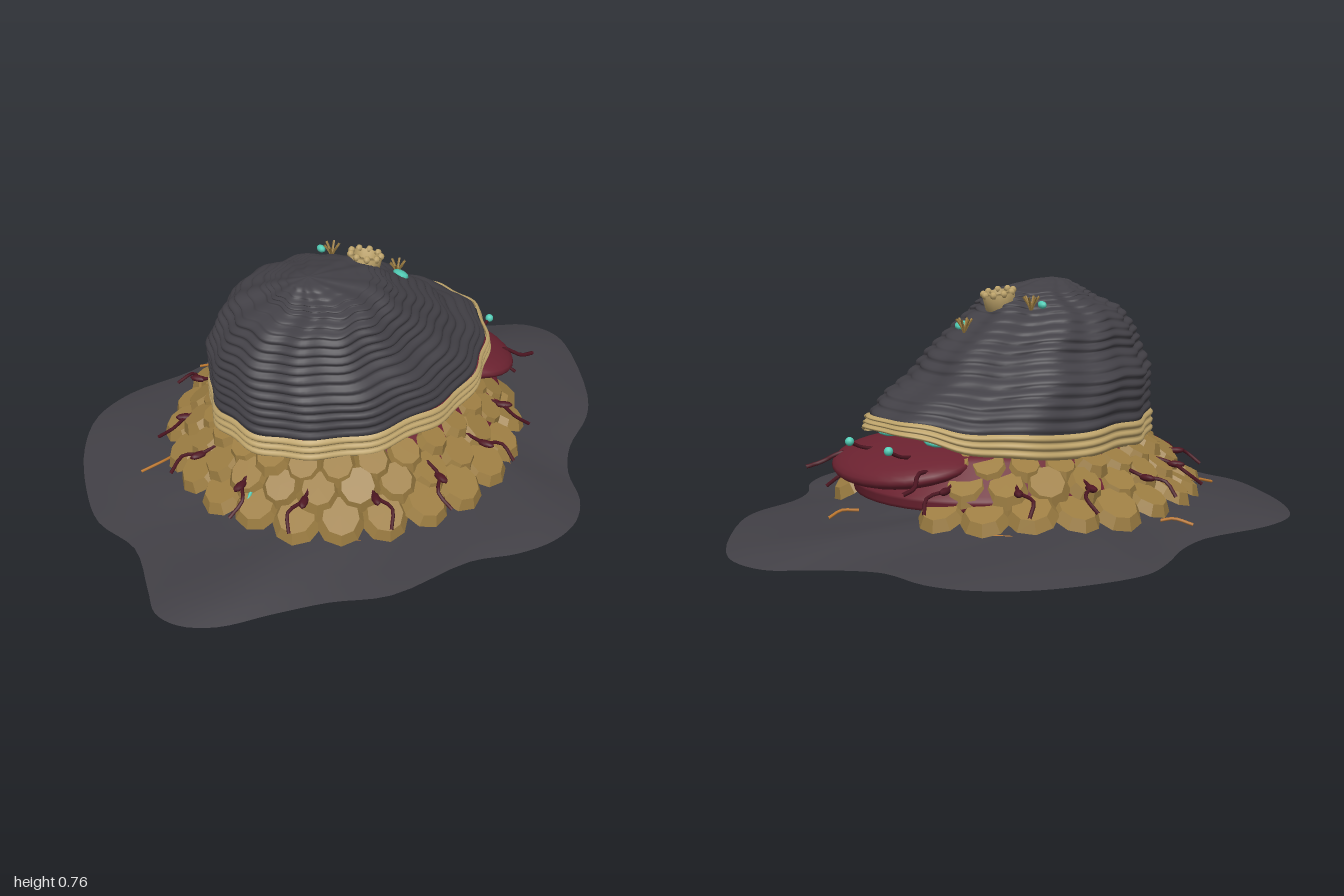
import * as THREE from 'three';

const paint = (name, color, side = THREE.FrontSide) => {
  const m = new THREE.MeshStandardMaterial({ color, side });
  m.name = name;
  return m;
};

// Closed-in-theta grid surface; f(theta, v) returns [x, y, z]
function surface(nu, nv, f) {
  const pos = [], idx = [];
  for (let j = 0; j <= nv; j++)
    for (let i = 0; i < nu; i++) pos.push(...f((i / nu) * Math.PI * 2, j / nv));
  for (let j = 0; j < nv; j++)
    for (let i = 0; i < nu; i++) {
      const k = (i + 1) % nu, a = j * nu + i, b = j * nu + k;
      idx.push(a, a + nu, b, b, a + nu, b + nu);
    }
  const g = new THREE.BufferGeometry();
  g.setAttribute('position', new THREE.Float32BufferAttribute(pos, 3));
  g.setIndex(idx);
  g.computeVertexNormals();
  return g;
}

const tube = (pts, r, n = 10) => new THREE.TubeGeometry(
  new THREE.CatmullRomCurve3(pts.map(p => new THREE.Vector3(...p))), n, r, 5);

// Interpolate a table of rows at v in 0..1
function mix(rows, v) {
  const s = v * (rows.length - 1), i = Math.min(Math.floor(s), rows.length - 2), t = s - i;
  return rows[i].map((a, k) => a + (rows[i + 1][k] - a) * t);
}

export function createModel() {
  const model = new THREE.Group();
  const dark = paint('charcoal', 0x424046, THREE.DoubleSide);
  const tan = paint('tan', 0xbda36a, THREE.DoubleSide);
  const gold = paint('gold', 0x9c7d42);
  gold.flatShading = true;
  const maroon = paint('maroon', 0x6b2230, THREE.DoubleSide);
  const wine = paint('dark wine', 0x4e1622);
  const teal = paint('turquoise', 0x52cdb6);
  const orange = paint('orange', 0xc07a30);
  let seed = 7;
  const rnd = () => (seed = (seed * 16807) % 2147483647) / 2147483647;
  const add = (name, geo, mat, x = 0, y = 0, z = 0, parent = model) => {
    const m = new THREE.Mesh(geo, mat);
    m.name = name;
    m.position.set(x, y, z);
    parent.add(m);
    return m;
  };
  const backness = th => Math.pow(Math.max(0, -Math.sin(th)), 3);

  // Wavy ground sheet
  const outline = new THREE.CatmullRomCurve3([
    [0.04, -1], [0.14, -0.97], [0.4, -0.77], [0.48, -0.66], [0.54, -0.49], [0.62, -0.38],
    [0.73, -0.3], [0.79, -0.2], [0.8, -0.08], [0.76, 0.05], [0.68, 0.18], [0.61, 0.45],
    [0.5, 0.6], [0.42, 0.75], [0.35, 0.9], [0.27, 0.98], [0.19, 1], [0.1, 0.96],
    [-0.08, 0.88], [-0.26, 0.89], [-0.42, 0.83], [-0.61, 0.71], [-0.72, 0.58], [-0.75, 0.42],
    [-0.71, 0.17], [-0.73, 0.04], [-0.78, -0.08], [-0.81, -0.2], [-0.77, -0.4], [-0.7, -0.57],
    [-0.6, -0.69], [-0.5, -0.74], [-0.34, -0.75], [-0.25, -0.79], [-0.15, -0.88], [-0.07, -0.97],
  ].map(([x, z]) => new THREE.Vector3(x, 0, z)), true);
  add('groundSheet', surface(144, 16, (th, v) => {
    const p = outline.getPoint((th / (Math.PI * 2)) % 1), s = 1 - v;
    const y = 0.075 * Math.pow(v, 0.75) + 0.006 * (1 + Math.sin(th * 5 + v * 9)) * Math.min(1, s * 3);
    return [p.x * s, y, p.z * s];
  }), dark);

  // Ribbed shell: rows of y, centre x, centre z, radius x, radius z
  const levels = [
    [0.32, -0.035, -0.005, 0.375, 0.5], [0.4, -0.03, 0.03, 0.37, 0.465],
    [0.47, -0.03, 0.085, 0.355, 0.41], [0.54, -0.022, 0.11, 0.3, 0.375],
    [0.6, -0.02, 0.14, 0.28, 0.315], [0.66, 0, 0.175, 0.238, 0.245],
    [0.7, 0.02, 0.16, 0.18, 0.18], [0.722, 0.02, 0.17, 0.13, 0.15],
    [0.752, 0.025, 0.22, 0.05, 0.06], [0.76, 0.025, 0.23, 0, 0],
  ];
  const shellPoint = (th, v) => {
    const [y, cx, cz, rx, rz] = mix(levels, v);
    const fade = Math.min(1, rx / 0.2);
    const off = fade * (0.012 * Math.abs(Math.sin(v * Math.PI * 20 + 0.3 * Math.sin(th * 3)))
      + 0.006 * Math.cos(th * 14));
    return [cx + (rx + off) * Math.cos(th),
      y + backness(th) * 0.045 * Math.max(0, 1 - v * 5) + 0.004 * fade * Math.sin(th * 9),
      cz + (rz + off) * Math.sin(th)];
  };
  add('shell', surface(126, 120, shellPoint), dark);

  // Layered lip band around the shell opening
  add('shellBand', surface(126, 18, (th, v) => {
    const b = backness(th);
    const off = 0.008 + 0.01 * Math.abs(Math.sin(v * Math.PI * 3)) + 0.007 * Math.cos(th * 14) + 0.022 * b * (1 - v);
    return [-0.035 + (0.375 + off) * Math.cos(th),
      0.248 + 0.078 * v + b * (0.085 - 0.04 * v) + 0.004 * Math.sin(th * 9),
      -0.005 + (0.5 + off) * Math.sin(th)];
  }), tan);

  // Soft body under the shell, closed at both ends
  const bodyRows = [[0.1, 0], [0.1, 0.82], [0.115, 0.99], [0.15, 1], [0.2, 0.9], [0.26, 0.78], [0.28, 0]];
  add('body', surface(48, 24, (th, v) => {
    const [y, r] = mix(bodyRows, v);
    return [-0.025 + 0.46 * r * Math.cos(th), y, 0.0 + 0.55 * r * Math.sin(th)];
  }), maroon);

  // Head peeking out at the raised lip, with eyes on stalks
  const head = add('head', new THREE.SphereGeometry(1, 32, 16), maroon, 0.02, 0.225, -0.41);
  head.scale.set(0.27, 0.055, 0.2);
  head.rotation.x = -0.2;
  for (const x of [-0.11, 0.09]) {
    add('eyeStalk', tube([[x * 0.8, 0.25, -0.44], [x, 0.265, -0.52], [x, 0.285, -0.56]], 0.006), wine);
    add('eye', new THREE.SphereGeometry(0.014, 12, 8), teal, x, 0.288, -0.563);
    const gill = add('gill', new THREE.SphereGeometry(1, 10, 6), teal, x * 1.2, 0.295, -0.4);
    gill.scale.set(0.05, 0.012, 0.03);
  }

  // Skirt of overlapping faceted scales: radius x, radius z, y, width, length, tilt
  const skirt = new THREE.Group();
  skirt.name = 'scaleSkirt';
  model.add(skirt);
  const scaleGeo = new THREE.CylinderGeometry(0.72, 1, 1, 9);
  [[0.395, 0.45, 0.225, 0.12, 0.13, 0.5], [0.45, 0.505, 0.175, 0.135, 0.15, 0.6],
    [0.515, 0.555, 0.112, 0.155, 0.17, 0.5]].forEach(([rx, rz, y, w, len, tilt], row) => {
    const n = 25;
    for (let i = 0; i < n; i++) {
      const a = ((i + row * 0.5) / n) * Math.PI * 2, c = Math.cos(a), s = Math.sin(a);
      if (s < 0 && Math.abs(c) < 0.42) continue;
      const k = 0.95 + rnd() * 0.14;
      const m = add('scale', scaleGeo, gold, -0.025 + rx * c,
        y + 0.012 * Math.abs(s) + (rnd() - 0.5) * 0.015, 0.03 + rz * s, skirt);
      m.rotation.order = 'YXZ';
      m.rotation.set(tilt + (rnd() - 0.5) * 0.2, Math.atan2(c / rx, s / rz), (rnd() - 0.5) * 0.25);
      m.scale.set((w * k) / 2, 0.032, (len * k) / 2);
    }
  });

  // Curling feelers between the scales
  const feelers = new THREE.Group();
  feelers.name = 'feelers';
  model.add(feelers);
  for (let i = 0; i < 14; i++) {
    const a = -1.1 + (i / 13) * (Math.PI + 2.2), bend = i % 2 ? 0.07 : -0.07;
    const at = (r, da, y) => [-0.025 + r * Math.cos(a + da), y, 0.03 + (r + 0.05) * Math.sin(a + da)];
    add('feeler', tube([at(0.42, 0, 0.2), at(0.5, 0, 0.18), at(0.55, bend, 0.165), at(0.6, bend * 0.6, 0.125)], 0.006),
      wine, 0, 0, 0, feelers);
    const knob = add('feelerKnob', new THREE.SphereGeometry(1, 8, 6), wine, ...at(0.51, 0, 0.178), feelers);
    knob.scale.set(0.03, 0.011, 0.014);
    knob.rotation.y = -a;
  }
  for (const s of [-1, 1])
    add('headFeeler', tube([[s * 0.2, 0.22, -0.44], [s * 0.2, 0.23, -0.52], [s * 0.24, 0.2, -0.57], [s * 0.25, 0.19, -0.62]], 0.007), wine);

  // Ring-shaped growth on top of the shell
  const ring = new THREE.Group();
  ring.name = 'ringGrowth';
  ring.position.set(0, 0.7, -0.03);
  ring.rotation.x = -0.2;
  model.add(ring);
  const wall = new THREE.LatheGeometry([[0.036, -0.03], [0.05, -0.03], [0.055, 0.02], [0.042, 0.025], [0.036, -0.03]]
    .map(p => new THREE.Vector2(...p)), 14);
  add('ringWall', wall, tan, 0, 0, 0, ring);
  for (let i = 0; i < 9; i++) {
    const a = (i / 9) * Math.PI * 2;
    add('ringBead', new THREE.SphereGeometry(0.012, 6, 5), tan, 0.049 * Math.cos(a), 0.022, 0.049 * Math.sin(a), ring);
  }

  // Small sprigs and turquoise leaves on the shell
  for (const [x, y, z, lx, lz, size] of [[0.01, 0.6, -0.17, 0.045, -0.15, 0.035], [-0.13, 0.67, -0.01, -0.165, 0.005, 0.02]]) {
    for (let i = 0; i < 6; i++) {
      const a = i * 1.05;
      add('sprig', tube([[x, y, z], [x + 0.012 * Math.cos(a), y + 0.025, z + 0.012 * Math.sin(a)],
        [x + 0.026 * Math.cos(a), y + 0.045, z + 0.026 * Math.sin(a)]], 0.004, 4), gold);
    }
    const leaf = add('leaf', new THREE.SphereGeometry(1, 10, 6), teal, lx, y + 0.02, lz);
    leaf.scale.set(size, 0.012, size * 0.65);
    leaf.rotation.set(-0.4, -0.3, 0);
  }

  // Loose twigs on and through the ground sheet
  for (const [x, z, dx, dz, y] of [[-0.31, 0.54, -0.02, 0.13, 0.055], [-0.6, 0.09, -0.07, 0.07, 0.06],
    [0.11, -0.52, 0.02, -0.1, 0.06], [0.35, -0.3, 0.2, 0.1, 0.035], [-0.3, -0.4, -0.16, 0.14, 0.035], [0.3, 0.45, 0.14, -0.12, 0.03]])
    add('twig', tube([[x, y, z], [x + dx * 0.5 + 0.012, y + 0.004, z + dz * 0.5], [x + dx, y - 0.012, z + dz]], 0.005, 6), orange);
  add('tealThread', tube([[0.08, 0.19, 0.51], [0.1, 0.16, 0.55], [0.11, 0.13, 0.58]], 0.006, 6), teal);

  return model;
}
